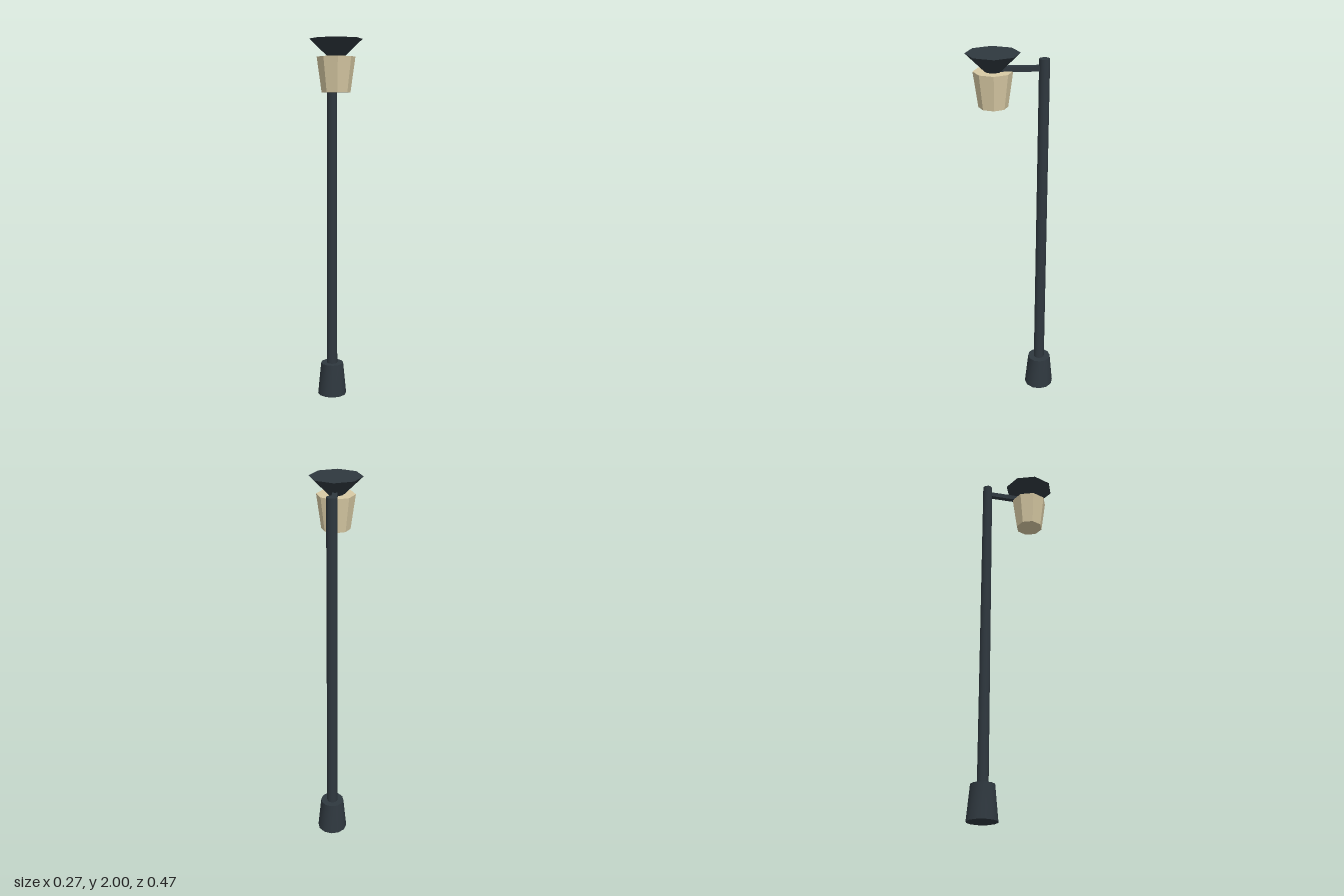
import * as THREE from 'three';
import { toCreasedNormals } from 'three/addons/utils/BufferGeometryUtils.js';

export function createModel() {
  const model = new THREE.Group();
  model.name = 'streetLamp';

  const darkMetal = new THREE.MeshStandardMaterial({ color: 0x2f383f });
  darkMetal.name = 'darkMetal';
  const lampGlass = new THREE.MeshStandardMaterial({ color: 0xd8caa4 });
  lampGlass.name = 'lampGlass';

  const poleZ = -0.155;
  const lampZ = 0.098;

  function add(name, geometry, material, y, z) {
    const mesh = new THREE.Mesh(geometry, material);
    mesh.name = name;
    mesh.position.set(0, y, z);
    model.add(mesh);
  }

  // Tapered prism between two heights; eight sides stay faceted, twelve are smooth
  function taper(name, topRadius, bottomRadius, y0, y1, sides, material, z) {
    const cylinder = new THREE.CylinderGeometry(topRadius, bottomRadius, y1 - y0, sides);
    add(name, toCreasedNormals(cylinder, Math.PI / 5), material, (y0 + y1) / 2, z);
  }

  // Foot and post
  taper('base', 0.064, 0.082, 0, 0.185, 12, darkMetal, poleZ);
  taper('pole', 0.027, 0.03, 0.15, 1.968, 12, darkMetal, poleZ);

  // Arm from the post to the inside of the cap
  add('arm', new THREE.BoxGeometry(0.026, 0.027, lampZ - poleZ), darkMetal, 1.921, (poleZ + lampZ) / 2);

  // Lantern and its flared cap
  taper('lantern', 0.1, 0.075, 1.73, 1.91, 8, lampGlass, lampZ);
  taper('cap', 0.137, 0.041, 1.908, 2, 8, darkMetal, lampZ);

  return model;
}
